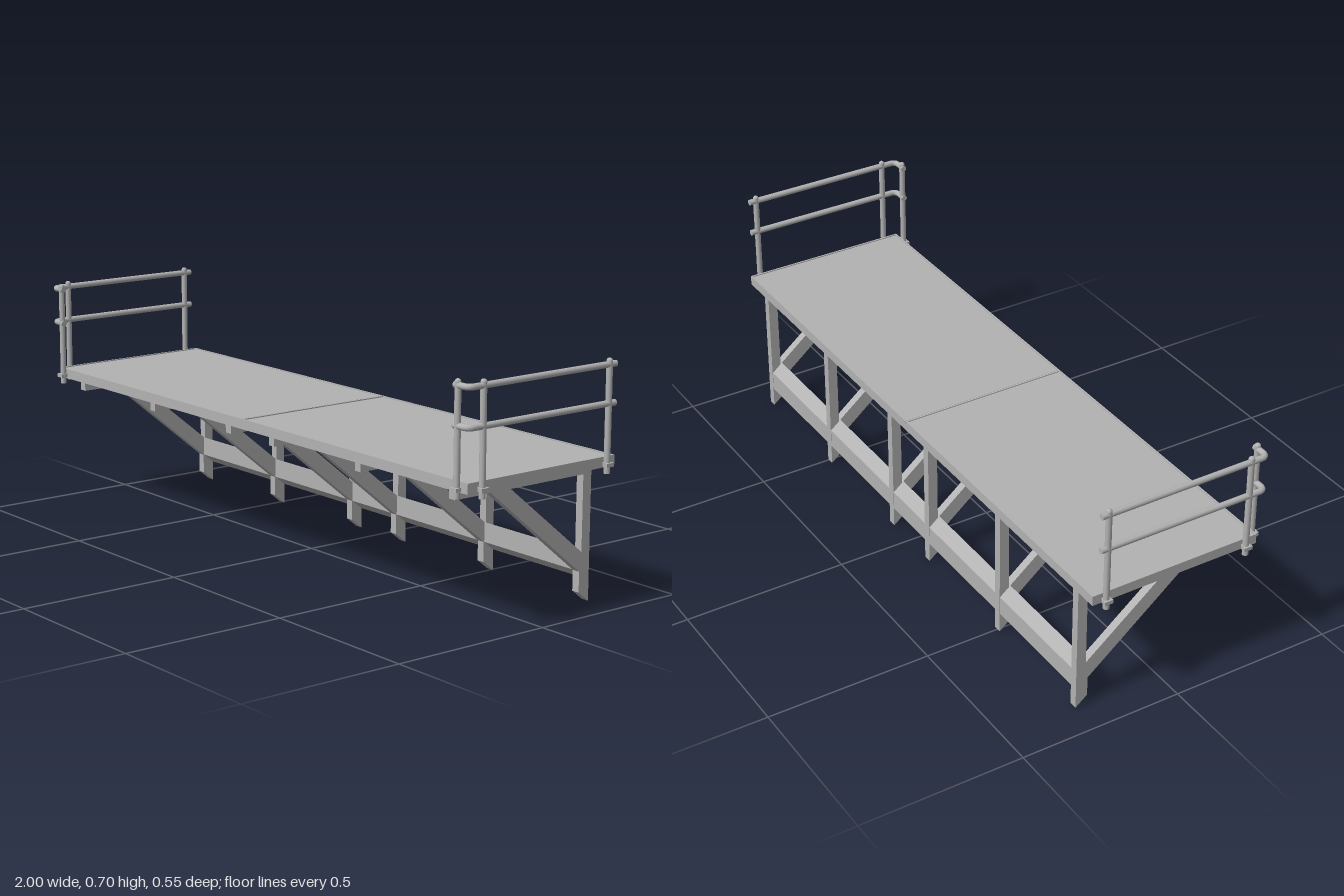
import * as THREE from 'three';

export function createModel() {
  const group = new THREE.Group();
  group.name = 'bracketedPlatform';
  const steel = new THREE.MeshStandardMaterial({ color: 0xb2b2b2, side: THREE.DoubleSide });
  steel.name = 'grey steel';

  const add = (name, geometry, x = 0, y = 0, z = 0, parent = group) => {
    const mesh = new THREE.Mesh(geometry, steel);
    mesh.name = name;
    mesh.position.set(x, y, z);
    parent.add(mesh);
    return mesh;
  };
  const box = (name, x0, x1, y0, y1, z0, z1, parent) =>
    add(name, new THREE.BoxGeometry(x1 - x0, y1 - y0, z1 - z0),
      (x0 + x1) / 2, (y0 + y1) / 2, (z0 + z1) / 2, parent);

  // Extrudes a (z, y) outline along x, centred on x = 0
  const sideProfile = (points, width, hole) => {
    const toVec = (list) => list.map(([z, y]) => new THREE.Vector2(z, y));
    const shape = new THREE.Shape(toVec(points));
    if (hole) shape.holes.push(new THREE.Path(toVec(hole)));
    const g = new THREE.ExtrudeGeometry(shape, { depth: width, bevelEnabled: false });
    return g.translate(0, 0, -width / 2).rotateY(-Math.PI / 2);
  };

  // Deck: two panels, each a slab inside a thin upright rim
  const mid = -0.003, zBack = -0.276, zFront = 0.254, rim = 0.005;
  const panels = [['rightPanel', -0.977, mid - 0.0005], ['leftPanel', mid + 0.0005, 0.977]];
  for (const [name, x0, x1] of panels) {
    const panel = new THREE.Group();
    panel.name = name;
    group.add(panel);
    box('deckSlab', x0 + rim, x1 - rim, 0.4, 0.427, zBack + rim, zFront - rim, panel);
    box('backRim', x0, x1, 0.4, 0.43, zBack, zBack + rim, panel);
    box('frontRim', x0, x1, 0.4, 0.43, zFront - rim, zFront, panel);
    box('sideRim', x0, x0 + rim, 0.4, 0.43, zBack + rim, zFront - rim, panel);
    box('sideRim', x1 - rim, x1, 0.4, 0.43, zBack + rim, zFront - rim, panel);
  }

  // Triangular brackets under the deck
  const bracket = sideProfile(
    [[0.225, 0.4], [0.225, 0.365], [0.1, 0.365], [-0.233, 0.09], [-0.233, 0.03], [-0.27, 0], [-0.27, 0.4]],
    0.025,
    [[0.028, 0.365], [-0.24, 0.365], [-0.24, 0.145]]);
  for (const side of [-1, 1]) {
    for (const x of [0.105, 0.496, 0.887]) add('bracket', bracket, mid + side * x);
  }

  // Long beam tying the bracket feet together, sloped like the braces
  add('tieBeam', sideProfile(
    [[-0.235, 0.09], [-0.235, 0.149], [-0.269, 0.121], [-0.269, 0.062]], 1.774), mid);

  // Railings, one at each end, wrapping round the front corner
  const r = 0.009, px = 0.986, pz = 0.263, bend = 0.02;
  const postProfile = [new THREE.Vector2(0, 0.385), new THREE.Vector2(r, 0.385), new THREE.Vector2(r, 0.385)];
  for (let i = 0; i <= 5; i++) {
    const a = (i / 5) * Math.PI / 2;
    postProfile.push(new THREE.Vector2(r * Math.cos(a), 0.694 + r * Math.sin(a)));
  }
  const post = new THREE.LatheGeometry(postProfile, 16);
  const collar = new THREE.CylinderGeometry(0.0125, 0.0125, 0.011, 12);
  const cap = new THREE.CircleGeometry(r, 16);

  for (const side of [-1, 1]) {
    const railing = new THREE.Group();
    railing.name = side > 0 ? 'leftRailing' : 'rightRailing';
    group.add(railing);

    // Posts with clamps at the deck edge
    for (const [x, z] of [[px, -0.239], [px, 0.212], [0.944, pz]]) {
      add('post', post, side * x, 0, z, railing);
      add('clampCollar', collar, side * x, 0.41, z, railing);
      const onSide = x === px;
      add('clampPlate', new THREE.BoxGeometry(onSide ? 0.008 : 0.027, 0.011, onSide ? 0.027 : 0.008),
        side * (onSide ? x + 0.01 : x), 0.41, onSide ? z : z + 0.01, railing);
    }

    // Rails: straight run, rounded corner, short return
    for (const y of [0.578, 0.685]) {
      const v = (x, z) => new THREE.Vector3(side * x, y, z);
      const path = new THREE.CurvePath();
      path.add(new THREE.LineCurve3(v(px, -0.262), v(px, pz - bend)));
      path.add(new THREE.QuadraticBezierCurve3(v(px, pz - bend), v(px, pz), v(px - bend, pz)));
      path.add(new THREE.LineCurve3(v(px - bend, pz), v(0.932, pz)));
      add('rail', new THREE.TubeGeometry(path, 120, r, 14), 0, 0, 0, railing);
      add('railEnd', cap, side * px, y, -0.262, railing).rotation.y = Math.PI;
      add('railEnd', cap, side * 0.932, y, pz, railing).rotation.y = -side * Math.PI / 2;
    }
  }
  return group;
}
